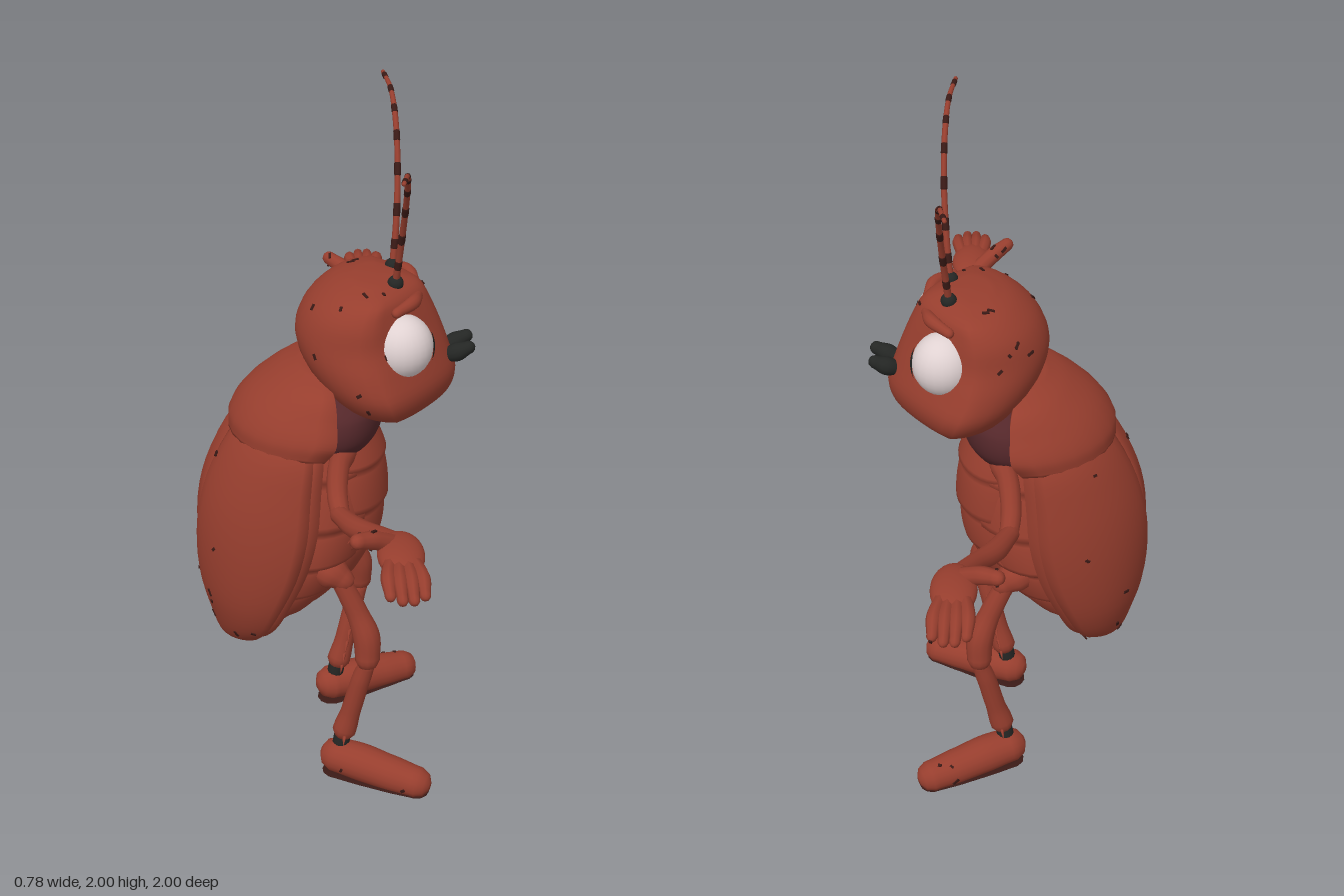
import * as THREE from 'three';
import { mergeGeometries } from 'three/addons/utils/BufferGeometryUtils.js';

const V = (x, y, z) => new THREE.Vector3(x, y, z);
const mat = (name, color) => {
  const m = new THREE.MeshStandardMaterial({ color });
  m.name = name;
  return m;
};

// Skin closed rings of points into a capped solid that faces outward
function loft(rings) {
  const n = rings[0].length, pos = [], idx = [];
  rings.forEach(r => r.forEach(p => pos.push(p.x, p.y, p.z)));
  for (let i = 0; i < rings.length - 1; i++) for (let j = 0; j < n; j++) {
    const a = i * n + j, b = i * n + (j + 1) % n;
    idx.push(a, b, a + n, b, b + n, a + n);
  }
  [0, rings.length - 1].forEach((ri, end) => {
    const c = rings[ri].reduce((s, p) => s.add(p), V(0, 0, 0)).divideScalar(n), ci = pos.length / 3;
    pos.push(c.x, c.y, c.z);
    for (let j = 0; j < n; j++) {
      const a = ri * n + j, b = ri * n + (j + 1) % n;
      if (end) idx.push(a, b, ci); else idx.push(b, a, ci);
    }
  });
  const at = i => V(pos[3 * i], pos[3 * i + 1], pos[3 * i + 2]);
  let vol = 0;
  for (let i = 0; i < idx.length; i += 3) vol += at(idx[i]).dot(at(idx[i + 1]).cross(at(idx[i + 2])));
  const g = new THREE.BufferGeometry();
  g.setAttribute('position', new THREE.Float32BufferAttribute(pos, 3));
  g.setIndex(idx);
  if (vol < 0) flip(g);
  g.computeVertexNormals();
  return g;
}

function flip(g) {
  const a = g.index.array;
  for (let i = 0; i < a.length; i += 3) [a[i], a[i + 1]] = [a[i + 1], a[i]];
}

// Smoothly sample rows [y, xBack, xFront, halfWidth] at t in 0..1
function rowSampler(rows) {
  const a = new THREE.CatmullRomCurve3(rows.map(r => V(r[0], r[1], r[2])));
  const b = new THREE.CatmullRomCurve3(rows.map(r => V(r[3], r[0], 0)));
  return t => { const p = a.getPoint(t); return [p.x, p.y, p.z, b.getPoint(t).x]; };
}

// Round body from horizontal sections; taper pinches the front
function body(rows, { taper = 0, steps = 30, grow = () => 1 } = {}) {
  const at = rowSampler(rows), rings = [];
  for (let i = 0; i <= steps; i++) {
    const [y, xb, xf, w] = at(i / steps), c = (xb + xf) / 2, f = grow(i / steps), ring = [];
    for (let j = 0; j < 36; j++) {
      const a = j / 36 * Math.PI * 2, co = Math.cos(a);
      ring.push(V(c + (xf - xb) / 2 * co * f, y, w * Math.sin(a) * (1 - taper * Math.max(0, co)) * f));
    }
    rings.push(ring);
  }
  return loft(rings);
}

// Curved shell open to the front; from..to are angles away from the back
function shell(rows, from, to, thick, seam = 0) {
  const at = rowSampler(rows), rings = [], n = 16;
  for (let i = 0; i <= 24; i++) {
    const [y, xb, xf, w] = at(i / 24), ring = [];
    for (let k = 0; k < 2 * n; k++) {
      const inner = k >= n, s = inner ? 1 - thick : 1, u = (inner ? 2 * n - 1 - k : k) / (n - 1);
      const a = from + (to - from) * u, dip = seam * Math.max(0, 1 - u * 7);
      ring.push(V(xf - (xf - xb) * Math.cos(a) * s + dip, y, w * Math.sin(a) * s + (seam ? 0.003 : 0)));
    }
    rings.push(ring);
  }
  return loft(rings);
}

// Limb along points [x, y, z, radius] with rounded ends
function limb(pts, sides = 12) {
  const curve = new THREE.CatmullRomCurve3(pts.map(p => V(p[0], p[1], p[2])));
  const steps = (pts.length - 1) * 6, fr = curve.computeFrenetFrames(steps), rings = [];
  const radius = t => {
    const f = t * (pts.length - 1), i = Math.min(Math.floor(f), pts.length - 2);
    return THREE.MathUtils.lerp(pts[i][3], pts[i + 1][3], THREE.MathUtils.smoothstep(f - i, 0, 1));
  };
  const add = (i, shift, scale) => {
    const r = radius(i / steps), c = curve.getPoint(i / steps).addScaledVector(fr.tangents[i], shift * r);
    rings.push(Array.from({ length: sides }, (_, j) => {
      const a = j / sides * Math.PI * 2;
      return c.clone().addScaledVector(fr.normals[i], Math.cos(a) * r * scale).addScaledVector(fr.binormals[i], Math.sin(a) * r * scale);
    }));
  };
  add(0, -0.75, 0.3); add(0, -0.5, 0.75);
  for (let i = 0; i <= steps; i++) add(i, 0, 1);
  add(steps, 0.5, 0.75); add(steps, 0.75, 0.3);
  return loft(rings);
}

const ball = (x, y, z, a, b = a, c = a) => new THREE.SphereGeometry(1, 24, 16).scale(a, b, c).translate(x, y, z);
const aim = (g, dir) => g.applyQuaternion(new THREE.Quaternion().setFromUnitVectors(V(0, 1, 0), dir.clone().normalize()));

export function createModel() {
  const root = new THREE.Group();
  root.name = 'standingBeetle';
  const red = mat('shellRed', 0x973e2e), dark = mat('darkMarks', 0x3a1a16), black = mat('black', 0x242624);
  const white = mat('eyeWhite', 0xe0d2d2), maroon = mat('neckMaroon', 0x54272a);
  const add = (name, g, m) => {
    const mesh = new THREE.Mesh(g, m);
    mesh.name = name;
    root.add(mesh);
    return g;
  };
  const pair = (name, g, m) => {
    add(name + 'Right', g, m);
    const o = g.clone().scale(1, 1, -1);
    flip(o);
    add(name + 'Left', o, m);
    return [g, o];
  };
  let seed = 7;
  const rnd = () => (seed = (seed * 16807) % 2147483647) / 2147483647;
  // Scattered thin flecks lying on a surface
  const flecks = (name, g, count) => {
    const p = g.attributes.position, nn = g.attributes.normal, list = [];
    for (let i = 0; i < count; i++) {
      const k = Math.floor(rnd() * p.count), n = V().fromBufferAttribute(nn, k);
      const f = new THREE.BoxGeometry(0.01 + rnd() * 0.014, 0.004, 0.006 + rnd() * 0.003).rotateY(rnd() * 6);
      const q = V().fromBufferAttribute(p, k);
      list.push(aim(f, n).translate(q.x + n.x * 0.001, q.y + n.y * 0.001, q.z + n.z * 0.001));
    }
    add(name, mergeGeometries(list), dark);
  };

  // Head with pointed snout
  const head = add('head', body([
    [1.172, 0.13, 0.24, 0.05], [1.185, 0.06, 0.29, 0.14], [1.22, 0, 0.33, 0.215], [1.28, -0.05, 0.345, 0.25],
    [1.35, -0.09, 0.325, 0.238], [1.42, -0.1, 0.3, 0.212], [1.49, -0.07, 0.27, 0.198],
    [1.54, -0.01, 0.24, 0.165], [1.565, 0.06, 0.18, 0.07]], { taper: 0.52 }), red);
  flecks('headFlecks', head, 20);

  // Eyes, brows, palps and feelers
  pair('eye', ball(0.184, 1.407, 0.128, 0.086, 0.09, 0.082), white);
  pair('pupil', aim(new THREE.SphereGeometry(0.088, 24, 8, 0, Math.PI * 2, 0, 0.56), V(0.97, -0.06, -0.14))
    .translate(0.186, 1.405, 0.126), black);
  pair('brow', limb([[0.232, 1.515, 0.04, 0.014], [0.215, 1.523, 0.1, 0.019], [0.165, 1.518, 0.155, 0.014]]), red);
  pair('palp', limb([[0.31, 1.32, 0.02, 0.02], [0.345, 1.335, 0.032, 0.026], [0.38, 1.352, 0.036, 0.018]]), black);
  pair('antennaBase', ball(0.17, 1.56, 0.055, 0.022), black);
  const feeler = [[0.17, 1.56, 0.055, 0.01], [0.18, 1.68, 0.085, 0.009], [0.186, 1.82, 0.15, 0.008],
    [0.184, 1.92, 0.225, 0.008], [0.176, 1.975, 0.305, 0.007], [0.16, 1.992, 0.395, 0.006]];
  pair('antenna', limb(feeler, 8), red);
  const feelerCurve = new THREE.CatmullRomCurve3(feeler.map(p => V(p[0], p[1], p[2])));
  pair('antennaBands', mergeGeometries([0.08, 0.22, 0.36, 0.5, 0.64, 0.78, 0.93].map(t =>
    limb([t, t + 0.04].map(s => [...feelerCurve.getPoint(s).toArray(), 0.0105 - 0.003 * s]), 8))), dark);

  // Neck
  add('neck', body([[1.07, -0.13, 0.11, 0.16], [1.13, -0.13, 0.14, 0.2], [1.2, -0.12, 0.15, 0.195], [1.26, -0.1, 0.15, 0.14]]), maroon);

  // Segmented trunk and raised belly plates
  const scallop = t => 0.93 + 0.09 * Math.pow((t * 7) % 1, 0.7);
  const trunk = add('trunk', body([
    [1.12, -0.16, 0.09, 0.16], [1.0, -0.2, 0.125, 0.19], [0.85, -0.24, 0.125, 0.215], [0.73, -0.27, 0.09, 0.215],
    [0.62, -0.3, 0.025, 0.185], [0.53, -0.31, -0.06, 0.14], [0.46, -0.31, -0.16, 0.085], [0.42, -0.3, -0.25, 0.02]],
  { steps: 70, grow: scallop }), red);
  add('bellyPlates', body([
    [1.12, -0.1, 0.125, 0.15], [1.02, -0.1, 0.155, 0.165], [0.88, -0.12, 0.16, 0.17], [0.76, -0.15, 0.135, 0.165],
    [0.64, -0.2, 0.068, 0.14], [0.54, -0.26, -0.03, 0.105], [0.47, -0.29, -0.13, 0.065], [0.425, -0.3, -0.24, 0.02]],
  { steps: 70, grow: scallop }), red);
  flecks('trunkFlecks', trunk, 20);

  // Wing cases with a thinner wing below each
  const wingRows = [[1.2, -0.2, -0.06, 0.17], [1.12, -0.285, -0.06, 0.24], [1, -0.352, -0.07, 0.267],
    [0.88, -0.388, -0.08, 0.28], [0.75, -0.398, -0.11, 0.275], [0.62, -0.386, -0.16, 0.248],
    [0.52, -0.36, -0.2, 0.2], [0.45, -0.34, -0.24, 0.13], [0.418, -0.32, -0.28, 0.06]];
  pair('wingCase', shell(wingRows, 0, Math.PI / 2, 0.14, 0.018), red).forEach((g, i) => flecks('wingFlecks' + i, g, 16));
  pair('underWing', shell(wingRows.map(r => [r[0] + 0.005, r[1] + 0.04, r[2] + 0.03, r[3] * 0.92]), 0, Math.PI / 2, 0.14, 0.018), red);

  // Saddle shield behind the head
  add('shoulderShield', shell([[1.115, -0.292, -0.03, 0.25], [1.16, -0.287, 0, 0.258], [1.22, -0.245, 0.005, 0.232],
    [1.28, -0.16, 0, 0.19], [1.31, -0.09, -0.02, 0.1]], -Math.PI / 2, Math.PI / 2, 0.15), red);

  // Arms
  pair('upperArm', limb([[0.03, 1.08, 0.13, 0.035], [0.01, 1.085, 0.22, 0.03], [0, 1.075, 0.35, 0.028], [0.005, 1.06, 0.43, 0.026]]), red);
  pair('forearm', limb([[0, 1.06, 0.42, 0.025], [0.04, 1.085, 0.53, 0.03], [0.09, 1.125, 0.63, 0.026], [0.13, 1.17, 0.73, 0.024]]), red);
  pair('palm', ball(0.137, 1.175, 0.8, 0.06, 0.031, 0.1), red);
  const fingers = [0, 1, 2, 3].map(i => {
    const x = 0.098 + i * 0.028, end = 0.972 + (i % 3 ? 0.02 : 0);
    return limb([[0.11 + i * 0.018, 1.177, 0.83, 0.019], [x, 1.18, 0.91, 0.019], [x + 0.002, 1.164, end - 0.004, 0.014]], 8);
  });
  fingers.push(limb([[0.12, 1.175, 0.75, 0.026], [0.07, 1.21, 0.785, 0.024], [0.025, 1.23, 0.82, 0.02]], 10));
  pair('fingers', mergeGeometries(fingers), red).forEach((g, i) => flecks('handFlecks' + i, g, 7));

  // Legs
  pair('hip', limb([[-0.07, 0.72, 0.13, 0.045], [-0.01, 0.705, 0.16, 0.05], [0.03, 0.68, 0.175, 0.033]]), red);
  pair('thigh', limb([[0.01, 0.7, 0.174, 0.028], [0.06, 0.59, 0.184, 0.032], [0.092, 0.5, 0.2, 0.04], [0.095, 0.425, 0.21, 0.036]]), red);
  pair('shin', limb([[0.095, 0.41, 0.205, 0.025], [0.075, 0.34, 0.197, 0.029], [0.05, 0.23, 0.185, 0.03], [0.03, 0.15, 0.178, 0.036]]), red);
  pair('ankle', limb([[0.025, 0.15, 0.178, 0.022], [0.02, 0.1, 0.18, 0.026]]), black);

  // Feet, flattened beneath, with dark soles
  const footPath = [[0.0, 0.06, 0.178, 0.052], [0.08, 0.054, 0.215, 0.056], [0.16, 0.044, 0.255, 0.053], [0.245, 0.034, 0.295, 0.047]];
  const foot = limb(footPath, 18), fp = foot.attributes.position;
  for (let i = 0; i < fp.count; i++) fp.setY(i, Math.max(0.006, fp.getY(i)));
  foot.computeVertexNormals();
  pair('foot', foot, red).forEach((g, i) => flecks('footFlecks' + i, g, 4));
  const sole = limb(footPath.map(p => [p[0], 0, p[2], p[3] * 0.84]), 18).scale(1, 0.09, 1).translate(0, 0.0045, 0);
  sole.computeVertexNormals();
  pair('sole', sole, dark);

  // Spines on forearms and shins
  const spine = (x, y, z, dir) => aim(new THREE.ConeGeometry(0.007, 0.04, 6).translate(0, 0.02, 0), dir).translate(x, y, z);
  const spines = [];
  for (let i = 0; i < 6; i++) {
    const t = i / 5;
    spines.push(spine(0.02 + 0.1 * t, 1.06 + 0.08 * t, 0.5 + 0.19 * t, V(i % 2 ? -0.8 : 0.5, -1, 0.4)));
    spines.push(spine(0.08 - 0.04 * t, 0.35 - 0.2 * t, 0.175 - 0.02 * t, V(-0.2, -0.5, -1)));
  }
  spines.push(spine(0.03, 0.15, 0.205, V(-0.2, -0.5, 1)));
  pair('spines', mergeGeometries(spines), red);
  return root;
}
